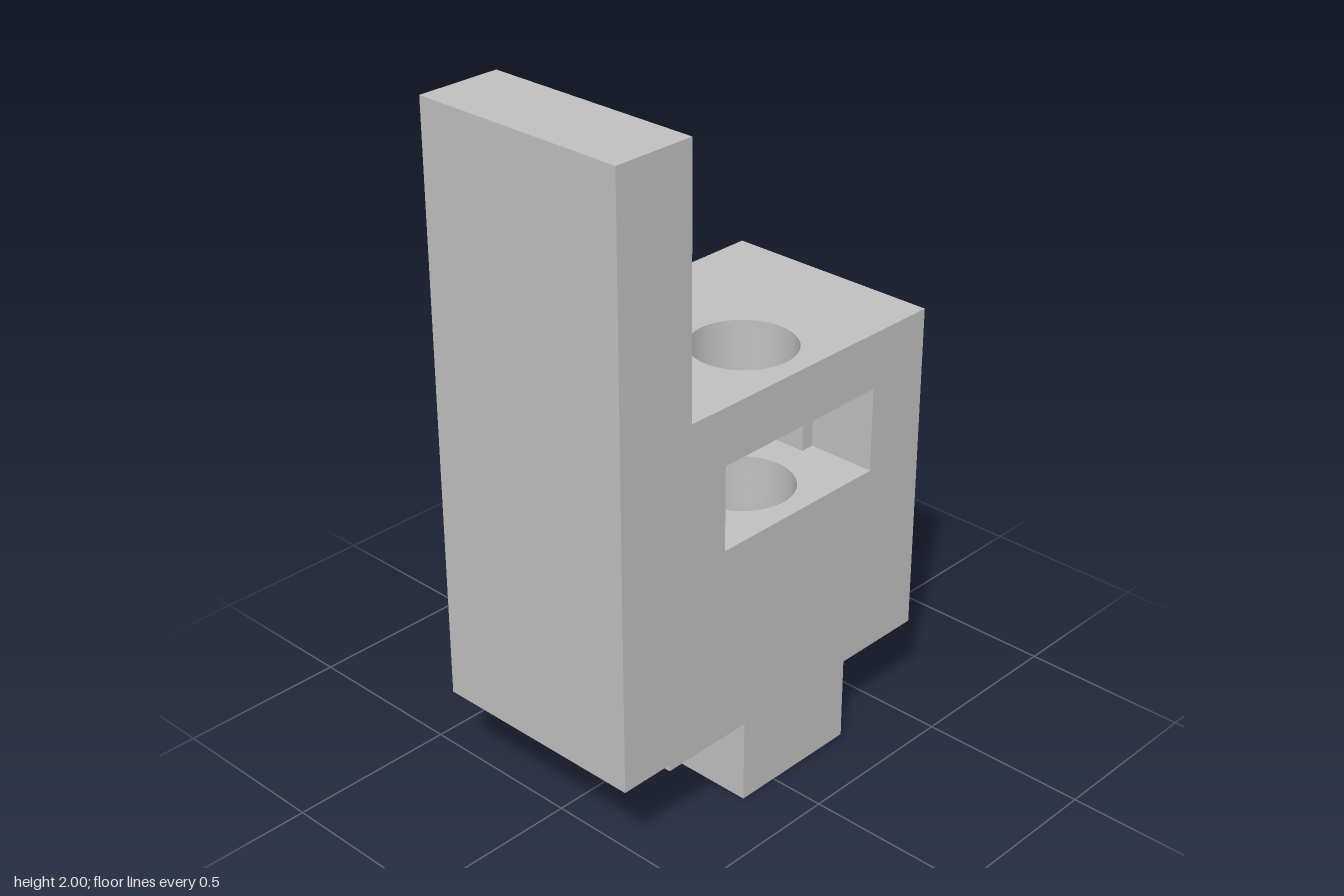
import * as THREE from 'three';
import { toCreasedNormals } from 'three/addons/utils/BufferGeometryUtils.js';

const X = 0.333, Z = 0.583;          // half width and half depth of the block
const CX = 0.125, CZ = -0.083;       // axis of the bolt hole
const HOLE_R = 0.15;

export function createModel() {
  const model = new THREE.Group();
  model.name = 'clampBlock';
  const grey = new THREE.MeshStandardMaterial({ color: 0xc0c0c0 });
  grey.name = 'grey';

  // Upright slab from an [x, z] outline, between two heights, optionally drilled
  function slab(name, outline, y0, y1, drilled) {
    const shape = new THREE.Shape(outline.map(([x, z]) => new THREE.Vector2(x, -z)));
    if (drilled) {
      const hole = new THREE.Path();
      hole.absarc(CX, -CZ, HOLE_R, 0, Math.PI * 2, true);
      shape.holes.push(hole);
    }
    const geo = new THREE.ExtrudeGeometry(shape, { depth: y1 - y0, bevelEnabled: false, curveSegments: 48 });
    geo.rotateX(-Math.PI / 2).translate(0, y0, 0);
    const mesh = new THREE.Mesh(toCreasedNormals(geo, 0.5), grey);
    mesh.name = name;
    model.add(mesh);
  }
  const rect = (x0, x1, z0, z1) => [[x0, z1], [x1, z1], [x1, z0], [x0, z0]];

  // Foot and main block, with the shallow relief under the front edge
  slab('foot', rect(-0.083, X, -0.291, 0.125), 0, 0.25, true);
  slab('base', rect(-X, X, -Z, 0.417), 0.25, 0.27, true);
  slab('body', rect(-X, X, -Z, Z), 0.27, 0.833, true);

  // Nut slot: half a hexagon pointing inward, widening to the open side
  const flat = 0.25, corner = flat / Math.cos(Math.PI / 6), wide = 0.292;
  slab('nutSlotLayer', [
    [-X, Z], [X, Z],
    [X, CZ + wide], [CX, CZ + wide], [CX, CZ + flat], [CX - corner / 2, CZ + flat],
    [CX - corner, CZ],
    [CX - corner / 2, CZ - flat], [CX, CZ - flat], [CX, CZ - wide], [X, CZ - wide],
    [X, -Z], [-X, -Z],
  ], 0.833, 1.083, false);

  // Roof over the slot and the tall front plate
  slab('roof', rect(-X, X, -Z, Z), 1.083, 1.25, true);
  slab('frontPlate', rect(-X, X, 0.333, Z), 1.25, 2, false);
  return model;
}
